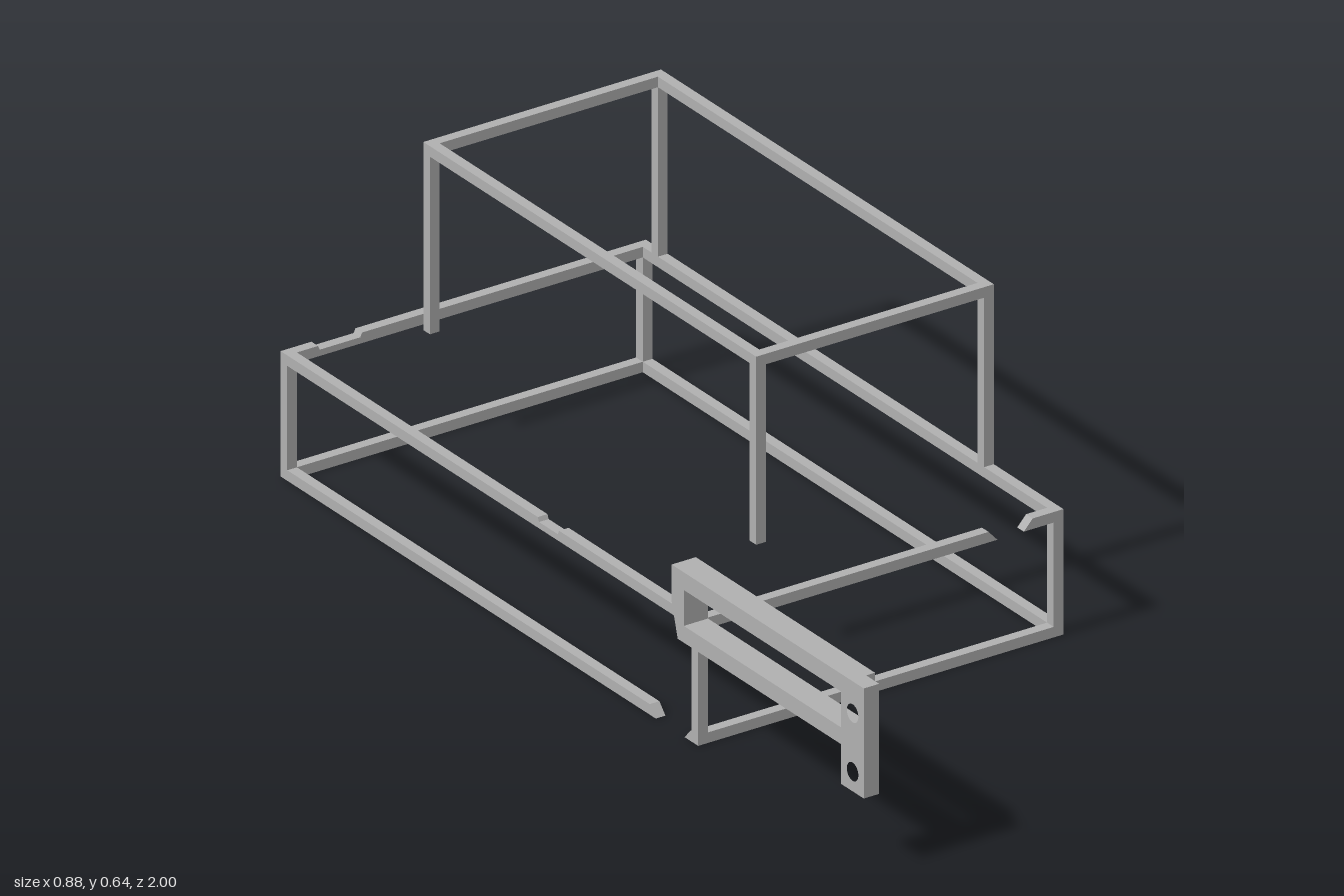
import * as THREE from 'three';

const T = 0.022; // tube thickness

export function createModel() {
  const steel = new THREE.MeshStandardMaterial({ color: 0xb0b0b0 });
  steel.name = 'grey steel';
  const root = new THREE.Group();
  root.name = 'tubeFrame';

  // Box between two corners; slant shears the end of a broken bar along its axis
  function block(parent, name, min, max, axis = 0, slantLo = 0, slantHi = 0) {
    const size = min.map((v, i) => max[i] - v);
    const geo = new THREE.BoxGeometry(...size);
    geo.translate(...min.map((v, i) => (v + max[i]) / 2));
    if (slantLo || slantHi) {
      const p = geo.attributes.position, mid = (min[axis] + max[axis]) / 2;
      const yMid = (min[1] + max[1]) / 2;
      for (let i = 0; i < p.count; i++) {
        const v = p.getComponent(i, axis);
        if (p.getY(i) > yMid) p.setComponent(i, axis, v < mid ? v + slantLo : v - slantHi);
      }
      geo.computeVertexNormals();
    }
    const mesh = new THREE.Mesh(geo, steel);
    mesh.name = name;
    parent.add(mesh);
  }

  // Bar along an axis from its low corner; each break is [from, to, remaining height share]
  function bar(parent, name, axis, corner, end, breaks = []) {
    let start = corner[axis], slant = 0;
    const piece = (a, b, share, lo, hi) => {
      const min = [...corner], max = corner.map(v => v + T);
      min[axis] = a;
      max[axis] = b;
      max[1] = min[1] + (axis === 1 ? b - a : T * share);
      block(parent, name, min, max, axis, lo, hi);
    };
    for (const [a, b, share] of breaks) {
      const cut = share ? 0.01 : 0.02;
      piece(start, a, 1, slant, cut);
      if (share) piece(a - cut, b + cut, share, 0, 0);
      start = b;
      slant = cut;
    }
    piece(start, end, 1, slant, 0);
  }

  // Lower cage
  const lower = new THREE.Group();
  lower.name = 'lowerCage';
  root.add(lower);
  const [x0, x1, z0, z1, top] = [-0.39, 0.44, -1, 0.38, 0.262];
  for (const x of [x0, x1 - T])
    for (const z of [z0, z1 - T]) bar(lower, 'lowerPost', 1, [x, 0, z], top);
  const yt = top - T;
  const across = (name, y, z, breaks) => bar(lower, name, 0, [x0 + T, y, z], x1 - T, breaks);
  const along = (name, y, x, breaks) => bar(lower, name, 2, [x, y, z0 + T], z1 - T, breaks);
  across('bottomFrontBar', 0, z1 - T);
  across('bottomBackBar', 0, z0);
  across('topFrontBar', yt, z1 - T, [[0.29, 0.35, 0]]);
  across('topBackBar', yt, z0, [[-0.31, -0.23, 0.6]]);
  along('bottomRightBar', 0, x0, [[0.24, 0.335, 0]]);
  along('bottomLeftBar', 0, x1 - T);
  along('topRightBar', yt, x0, [[-0.14, -0.09, 0.6]]);
  along('topLeftBar', yt, x1 - T);

  // Upper cage
  const upper = new THREE.Group();
  upper.name = 'upperCage';
  root.add(upper);
  const [u0, w0, w1, roof] = [-0.10, -0.95, 0.15, 0.638];
  for (const z of [w0, w1 - T]) {
    bar(upper, 'upperPost', 1, [u0, yt + 0.005, z], roof);
    bar(upper, 'upperPost', 1, [x1 - T, top, z], roof);
    bar(upper, 'roofCrossBar', 0, [u0 + T, roof - T, z], x1 - T);
  }
  for (const x of [u0, x1 - T]) bar(upper, 'roofSideBar', 2, [x, roof - T, w0 + T], w1 - T);

  // Side bracket: profiles in (z, y), extruded across x
  const bracket = new THREE.Group();
  bracket.name = 'sideBracket';
  root.add(bracket);
  const outline = pts => pts.map(([z, y]) => new THREE.Vector2(-z, y));
  function plate(name, shape, xa, xb) {
    const geo = new THREE.ExtrudeGeometry(shape, { depth: xb - xa, bevelEnabled: false, curveSegments: 16 });
    geo.rotateY(Math.PI / 2);
    geo.translate(xa, 0, 0);
    const mesh = new THREE.Mesh(geo, steel);
    mesh.name = name;
    bracket.add(mesh);
  }
  const outer = new THREE.Shape(outline([
    [0.365, 0.387], [0.365, 0.31], [0.385, 0.24], [0.925, 0.24],
    [0.925, 0.157], [1, 0.157], [1, 0.387]]));
  outer.holes.push(new THREE.Path(outline([[0.405, 0.275], [0.405, 0.35], [0.925, 0.35], [0.925, 0.275]])));
  for (const y of [0.32, 0.198])
    outer.holes.push(new THREE.Path().absarc(-0.963, y, 0.019, 0, Math.PI * 2, true));
  plate('bracketPlate', outer, -0.44, -0.405);
  plate('bracketArms', new THREE.Shape(outline([
    [0.365, 0.387], [0.365, 0.31], [0.385, 0.24], [0.957, 0.24], [0.957, 0.275],
    [0.405, 0.275], [0.405, 0.35], [0.957, 0.35], [0.957, 0.387]])), -0.405, -0.385);

  return root;
}
